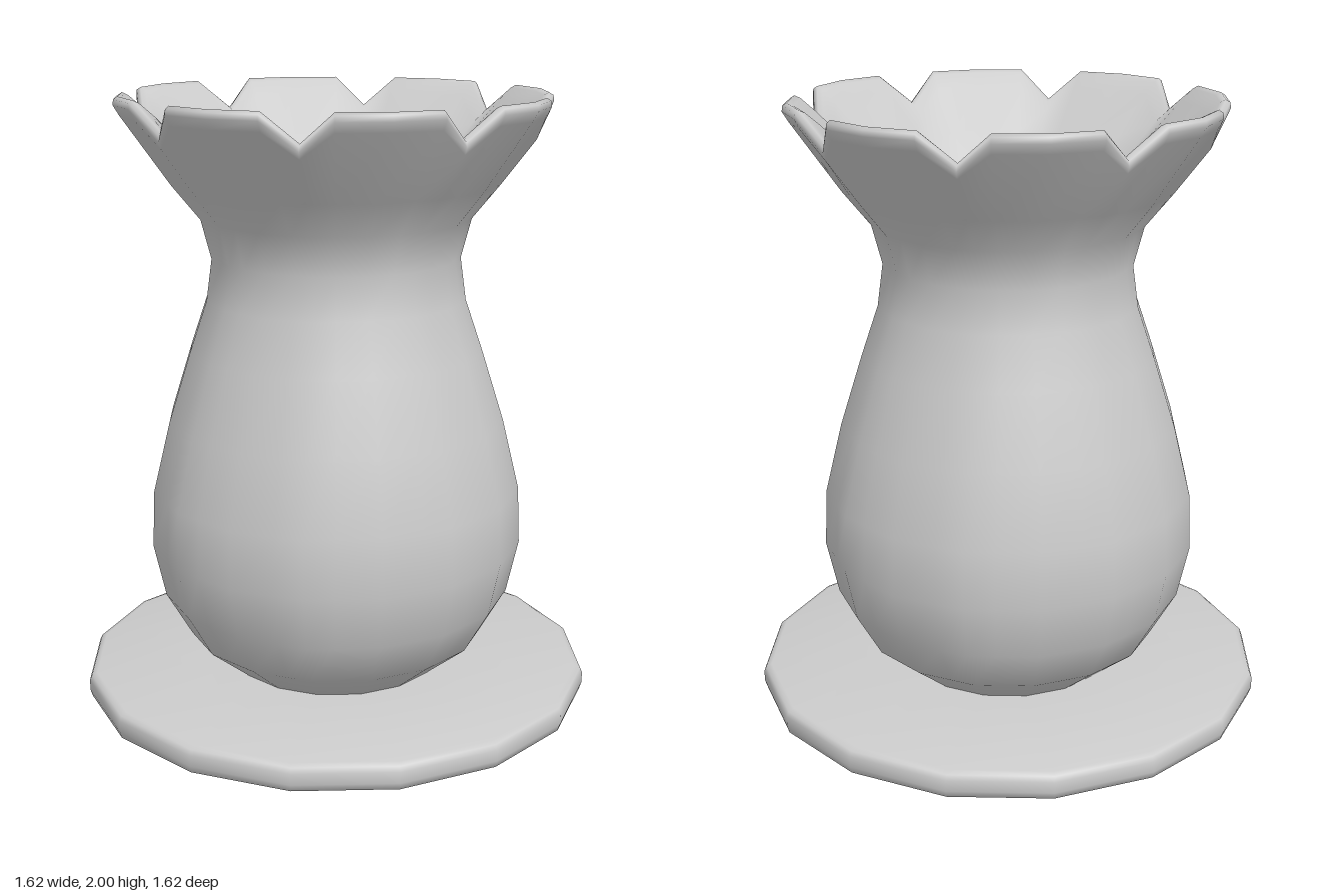
import * as THREE from 'three';
import { toCreasedNormals } from 'three/addons/utils/BufferGeometryUtils.js';

const PETALS = 8;
const HALF = Math.PI / PETALS;

// Columns around the vase: each petal has a notch, a shoulder, a centre and a shoulder.
// pull = how far the radius follows the notch, dip = how far the height follows it,
// chord = keeps the shoulders on the flat sides of the 16-sided body.
const columns = [];
for (let i = 0; i < PETALS; i++) {
  const mid = i * 2 * HALF;
  const chord = Math.cos(HALF / 2) / Math.cos(HALF * 0.1);
  columns.push({ a: mid - HALF, pull: 1, dip: 1, chord: 1 });
  columns.push({ a: mid - HALF * 0.6, pull: 0.2, dip: 0, chord });
  columns.push({ a: mid, pull: 0, dip: 0, chord: 1 });
  columns.push({ a: mid + HALF * 0.6, pull: 0.2, dip: 0, chord });
}

// Rings: [radius, height] is 16-sided, [radius, height, notch radius, notch height] is petalled.
function loft(rings) {
  const n = columns.length;
  const pos = [];
  const index = [];
  for (const [r, y, nr, ny] of rings) {
    for (const { a, pull, dip, chord } of columns) {
      const petalled = nr !== undefined;
      const radius = petalled ? r + (nr - r) * pull : r * chord;
      const height = petalled ? y + (ny - y) * dip : y;
      pos.push(radius * Math.sin(a), height, radius * Math.cos(a));
    }
  }
  for (let i = 0; i < rings.length - 1; i++) {
    for (let j = 0; j < n; j++) {
      const a = i * n + j;
      const b = i * n + ((j + 1) % n);
      index.push(a, b, b + n, a, b + n, a + n);
    }
  }
  const geo = new THREE.BufferGeometry();
  geo.setAttribute('position', new THREE.Float32BufferAttribute(pos, 3));
  geo.setIndex(index);
  geo.computeVertexNormals();
  return geo;
}

export function createModel() {
  const group = new THREE.Group();
  group.name = 'vaseOnSaucer';
  const material = new THREE.MeshStandardMaterial({ color: 0xcccccc });

  // Saucer: 16-sided, shallow cone below, softened edge
  const saucerProfile = [
    [0, 0], [0.29, 0], [0.785, 0.093], [0.803, 0.103], [0.81, 0.125],
    [0.81, 0.16], [0.803, 0.176], [0.785, 0.183], [0.3, 0.181], [0, 0.181],
  ].map(([r, y]) => new THREE.Vector2(r, y));
  const saucer = new THREE.Mesh(
    toCreasedNormals(new THREE.LatheGeometry(saucerProfile, 16), 0.85), material);
  saucer.name = 'saucer';
  group.add(saucer);

  // Vase: up the outside, over the petalled rim and down into a shallow cup
  const vase = new THREE.Mesh(loft([
    // outer wall
    [0.3, 0.15], [0.34, 0.18], [0.475, 0.29], [0.555, 0.43], [0.592, 0.6],
    [0.584, 0.78], [0.53, 1.0], [0.46, 1.22], [0.405, 1.38], [0.387, 1.51],
    [0.418, 1.63], [0.503, 1.735],
    // rim
    [0.65, 1.945, 0.605, 1.87], [0.668, 1.975, 0.613, 1.89], [0.666, 1.992, 0.61, 1.905],
    [0.653, 2.0, 0.597, 1.912], [0.635, 1.992, 0.58, 1.905],
    // fluted cup
    [0.59, 1.955, 0.545, 1.88], [0.45, 1.83, 0.45, 1.79], [0.335, 1.73, 0.36, 1.71],
    // cup floor
    [0.28, 1.64], [0, 1.63],
  ]), material);
  vase.name = 'vase';
  group.add(vase);

  return group;
}
